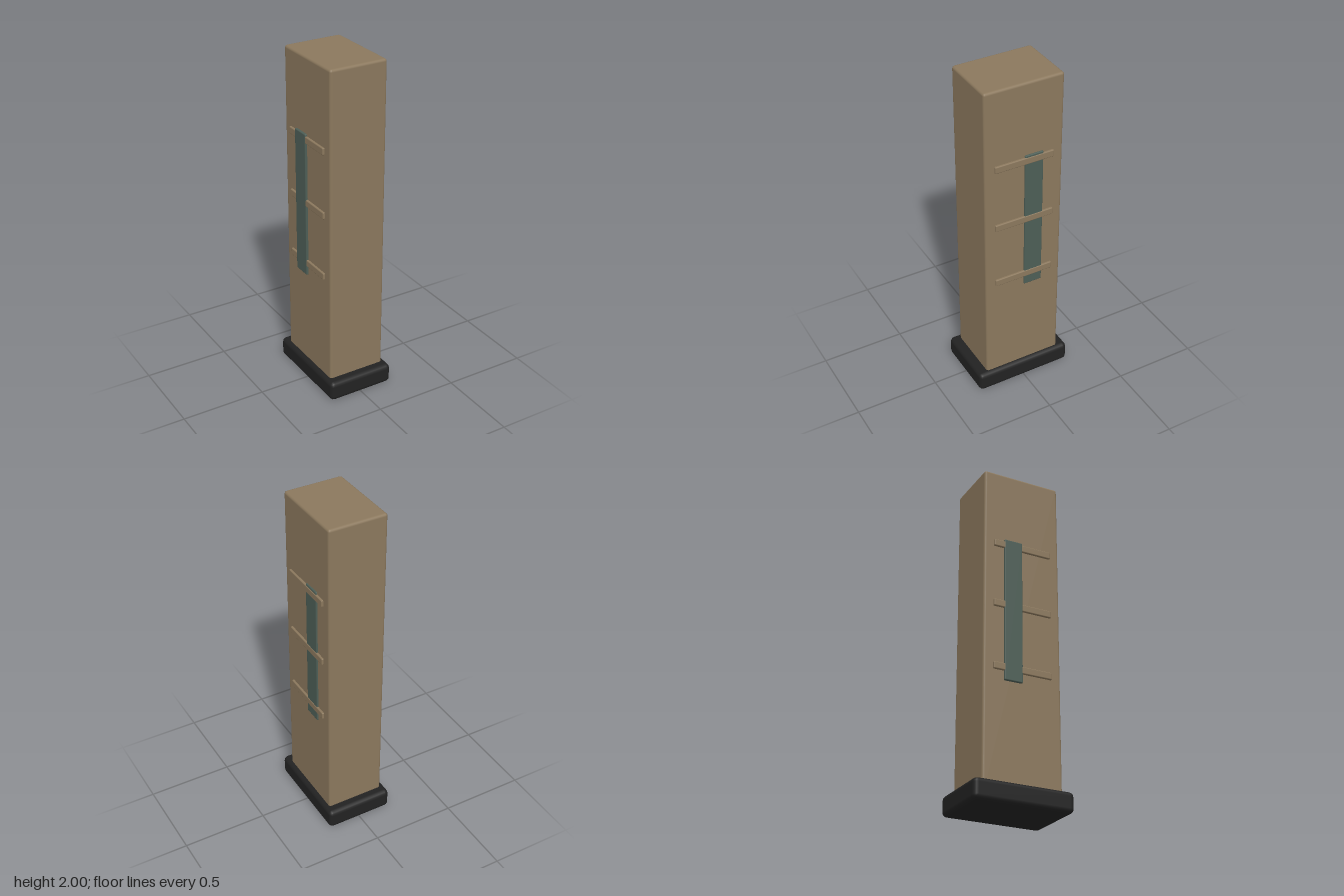
import * as THREE from 'three';
import { RoundedBoxGeometry } from 'three/addons/geometries/RoundedBoxGeometry.js';

const mat = (name, color) => {
  const m = new THREE.MeshStandardMaterial({ color });
  m.name = name;
  return m;
};

export function createModel() {
  const group = new THREE.Group();
  const tan = mat('tan', 0x8b785d);
  const black = mat('black', 0x222222);
  const teal = mat('greyGreen', 0x4d5e56);

  // softened box given by its minimum and maximum corners
  const block = (name, material, min, max, radius) => {
    const size = max.map((v, i) => v - min[i]);
    const mesh = new THREE.Mesh(new RoundedBoxGeometry(...size, 2, radius), material);
    mesh.position.set(...max.map((v, i) => (v + min[i]) / 2));
    mesh.name = name;
    group.add(mesh);
  };

  // base plate and tall body
  block('basePlate', black, [-0.203, 0, -0.298], [0.203, 0.119, 0.298], 0.027);
  block('body', tan, [-0.175, 0.06, -0.239], [0.175, 2, 0.239], 0.015);

  // vertical strip crossed by three horizontal ribs on both sides
  for (const side of [-1, 1]) {
    const label = side > 0 ? 'left' : 'right';
    const stripOut = side > 0 ? 0.184 : 0.188;
    const slab = (name, material, out, y0, y1, z0, z1) => {
      const xs = [side * 0.16, side * out].sort((a, b) => a - b);
      block(label + name, material, [xs[0], y0, z0], [xs[1], y1, z1], 0.006);
    };
    slab('Strip', teal, stripOut, 0.693, 1.563, -0.115, -0.003);
    for (const y of [0.77, 1.15, 1.53]) {
      slab('Rib', tan, 0.187, y - 0.021, y + 0.021, -0.18, 0.18);
    }
  }
  return group;
}
